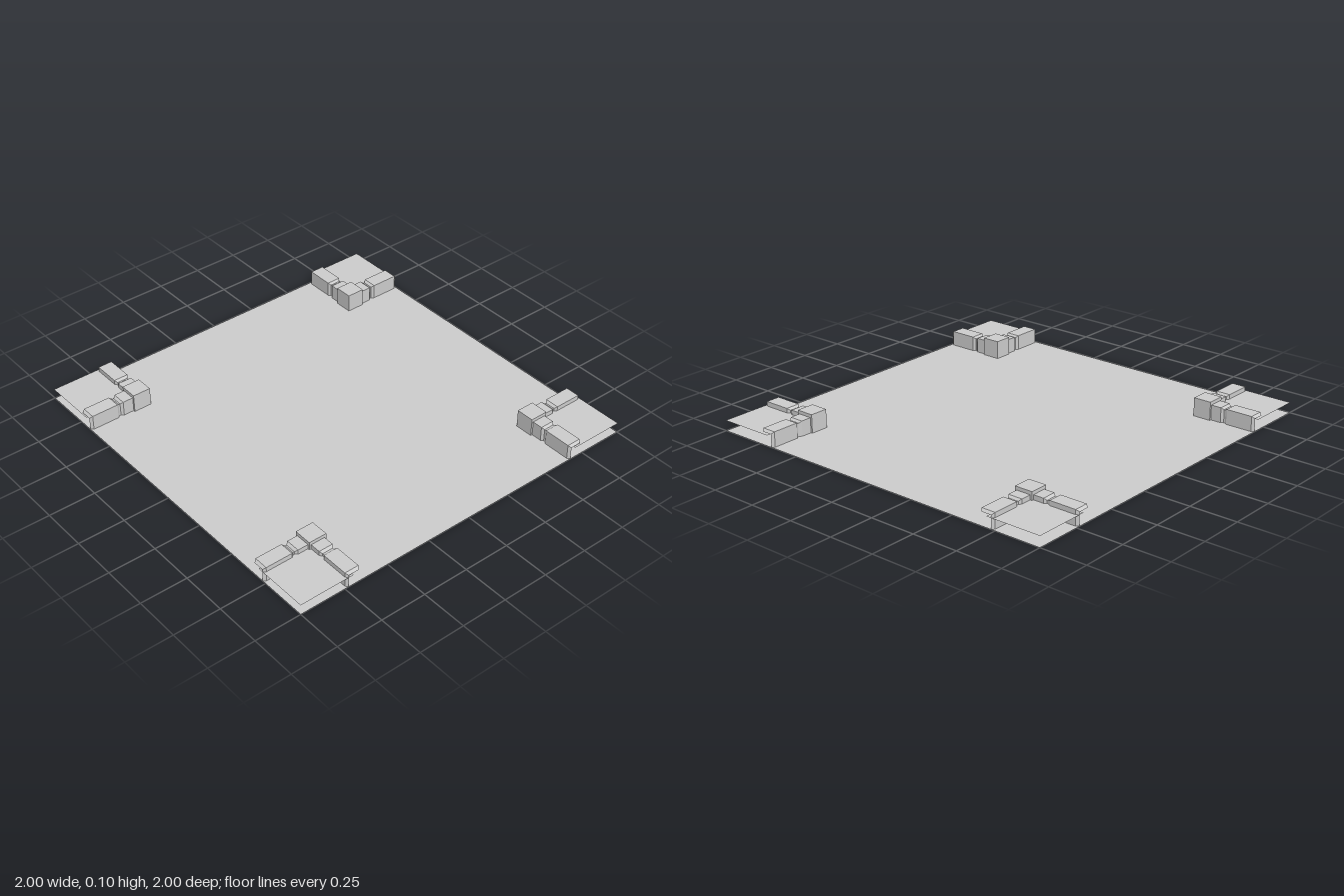
import * as THREE from 'three';

const MID = 0.7;          // centre line of the walls
const WALL_HALF = 0.039;  // half the wall width
const WALL_H = 0.08;

// Open-ended wall running along +z: [distance, inset] per cross-section
function wallGeometry() {
  const stations = [[0.74, 0], [0.806, 0], [0.819, 0.01], [0.827, 0.01],
    [0.84, 0], [0.986, 0], [1.0, 0.011]];
  const rings = stations.map(([z, inset]) => {
    const w = WALL_HALF - inset, h = WALL_H - inset;
    return [[-w, 0, z], [-w, h, z], [w, h, z], [w, 0, z]];
  });
  const pos = [];
  for (let s = 0; s < rings.length - 1; s++) {
    for (let i = 0; i < 3; i++) {
      const a = rings[s][i], b = rings[s][i + 1];
      const c = rings[s + 1][i + 1], d = rings[s + 1][i];
      pos.push(...a, ...d, ...c, ...a, ...c, ...b);
    }
  }
  const g = new THREE.BufferGeometry();
  g.setAttribute('position', new THREE.Float32BufferAttribute(pos, 3));
  g.computeVertexNormals();
  return g;
}

export function createModel() {
  const model = new THREE.Group();
  model.name = 'courtyardTile';
  const solid = new THREE.MeshStandardMaterial({ color: 0xcccccc, flatShading: true });
  const sheet = new THREE.MeshStandardMaterial({ color: 0xcccccc, side: THREE.DoubleSide });

  const add = (parent, name, geometry, material, x, y, z) => {
    const mesh = new THREE.Mesh(geometry, material);
    mesh.name = name;
    mesh.position.set(x, y, z);
    parent.add(mesh);
    return mesh;
  };

  // Ground sheet
  add(model, 'floor', new THREE.PlaneGeometry(2, 2).rotateX(-Math.PI / 2), sheet, 0, 0, 0);

  // Shared corner geometry
  const wall = wallGeometry();
  const pillar = new THREE.BoxGeometry(0.098, 0.098, 0.098);
  const size = 1 - MID;
  const plate = new THREE.PlaneGeometry(size, size).rotateX(-Math.PI / 2);

  // Four identical corners, each a quarter turn apart
  for (let i = 0; i < 4; i++) {
    const corner = new THREE.Group();
    corner.name = 'corner' + (i + 1);
    add(corner, 'pillar', pillar, solid, MID, 0.049, MID);
    add(corner, 'wallAlongZ', wall, solid, MID, 0, 0);
    add(corner, 'wallAlongX', wall, solid, 0, 0, MID).rotation.y = Math.PI / 2;
    add(corner, 'raisedCornerFloor', plate, sheet, MID + size / 2, 0.055, MID + size / 2);
    corner.rotation.y = i * Math.PI / 2;
    model.add(corner);
  }
  return model;
}
